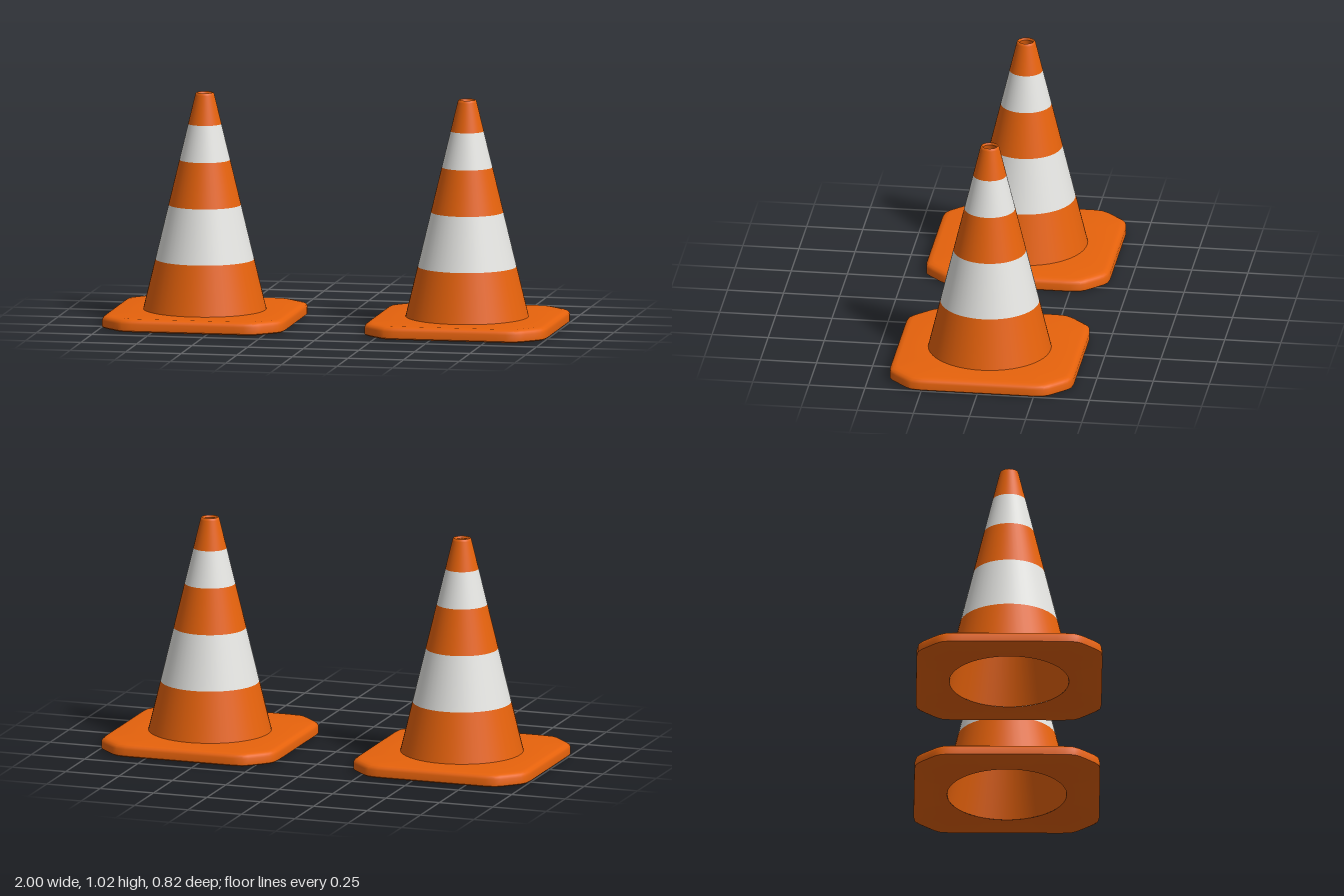
import * as THREE from 'three';
import { toCreasedNormals } from 'three/addons/utils/BufferGeometryUtils.js';

const HALF = 0.41;           // half width of the square base
const CHAMFER = 0.502;       // distance from centre to the cut corners
const BASE_TOP = 0.056;
const TOP = 1.02;
const SEGMENTS = 48;

// Outer radius of the cone at a height
const coneRadius = (y) => THREE.MathUtils.mapLinear(y, BASE_TOP, TOP, 0.272, 0.04);

// Distance to the softly rounded, corner-cut square outline at an angle
function outline(a) {
  const p = 50;
  let sum = 0;
  for (let k = 0; k < 8; k++) {
    const c = Math.cos(a - k * Math.PI / 4) / (k % 2 ? CHAMFER : HALF);
    if (c > 0) sum += c ** p;
  }
  return sum ** (-1 / p);
}

// Base plate: rings lofted from the bottom hole, round the rim, to the cone foot
function baseGeometry() {
  const corner = Math.atan2(0.3, HALF);
  const angles = [];
  for (let q = 0; q < 4; q++) {
    const start = q * Math.PI / 2;
    for (let i = 0; i < 16; i++) angles.push(start + corner * (i / 8 - 1));
    for (let i = 0; i < 6; i++) angles.push(start + corner + (Math.PI / 2 - 2 * corner) * i / 6);
  }
  const rim = (inset) => (a) => outline(a) * (1 - inset / HALF);
  const rings = [
    [() => 0.264, 0], [rim(0.008), 0], [rim(0), 0.006], [rim(0), 0.035],
    [rim(0.004), 0.046], [rim(0.014), 0.053], [rim(0.03), BASE_TOP], [() => 0.27, BASE_TOP],
  ];
  const positions = [], index = [], n = angles.length;
  rings.forEach(([radius, y], i) => angles.forEach((a, j) => {
    const r = radius(a);
    positions.push(r * Math.cos(a), y, r * Math.sin(a));
    if (i === rings.length - 1) return;
    const p = i * n + j, t = i * n + (j + 1) % n;
    index.push(p, p + n, t, t, p + n, t + n);
  }));
  const geometry = new THREE.BufferGeometry();
  geometry.setAttribute('position', new THREE.Float32BufferAttribute(positions, 3));
  geometry.setIndex(index);
  return toCreasedNormals(geometry, 0.7);
}

const lathe = (points) =>
  new THREE.LatheGeometry(points.map(([r, y]) => new THREE.Vector2(r, y)), SEGMENTS);

export function createModel() {
  const orange = new THREE.MeshStandardMaterial({ color: 0xe8630c });
  orange.name = 'orange';
  const white = new THREE.MeshStandardMaterial({ color: 0xe6e6e3 });
  white.name = 'white';

  const base = baseGeometry();

  // Alternating bands up the outside
  const heights = [0.05, 0.278, 0.52, 0.72, 0.88, 1.01];
  const bands = heights.slice(1).map((y, i) =>
    lathe([[coneRadius(heights[i]), heights[i]], [coneRadius(y), y]]));

  // Rounded lip at the open tip, and the hollow inside
  const lip = lathe([[coneRadius(1.01), 1.01], [0.04, 1.017], [0.036, TOP], [0.032, 1.018], [0.03, 1.01]]);
  const inside = lathe([[0.03, 1.01], [0.264, 0]]);

  const model = new THREE.Group();
  model.name = 'trafficCones';
  for (const side of [-1, 1]) {
    const cone = new THREE.Group();
    cone.name = side < 0 ? 'rightCone' : 'leftCone';
    const add = (name, geometry, material) => {
      const mesh = new THREE.Mesh(geometry, material);
      mesh.name = name;
      cone.add(mesh);
    };
    add('base', base, orange);
    bands.forEach((band, i) => add(i % 2 ? 'whiteBand' : 'orangeBand', band, i % 2 ? white : orange));
    add('tipLip', lip, orange);
    add('insideWall', inside, orange);
    cone.position.x = side * 0.59;
    model.add(cone);
  }
  return model;
}
